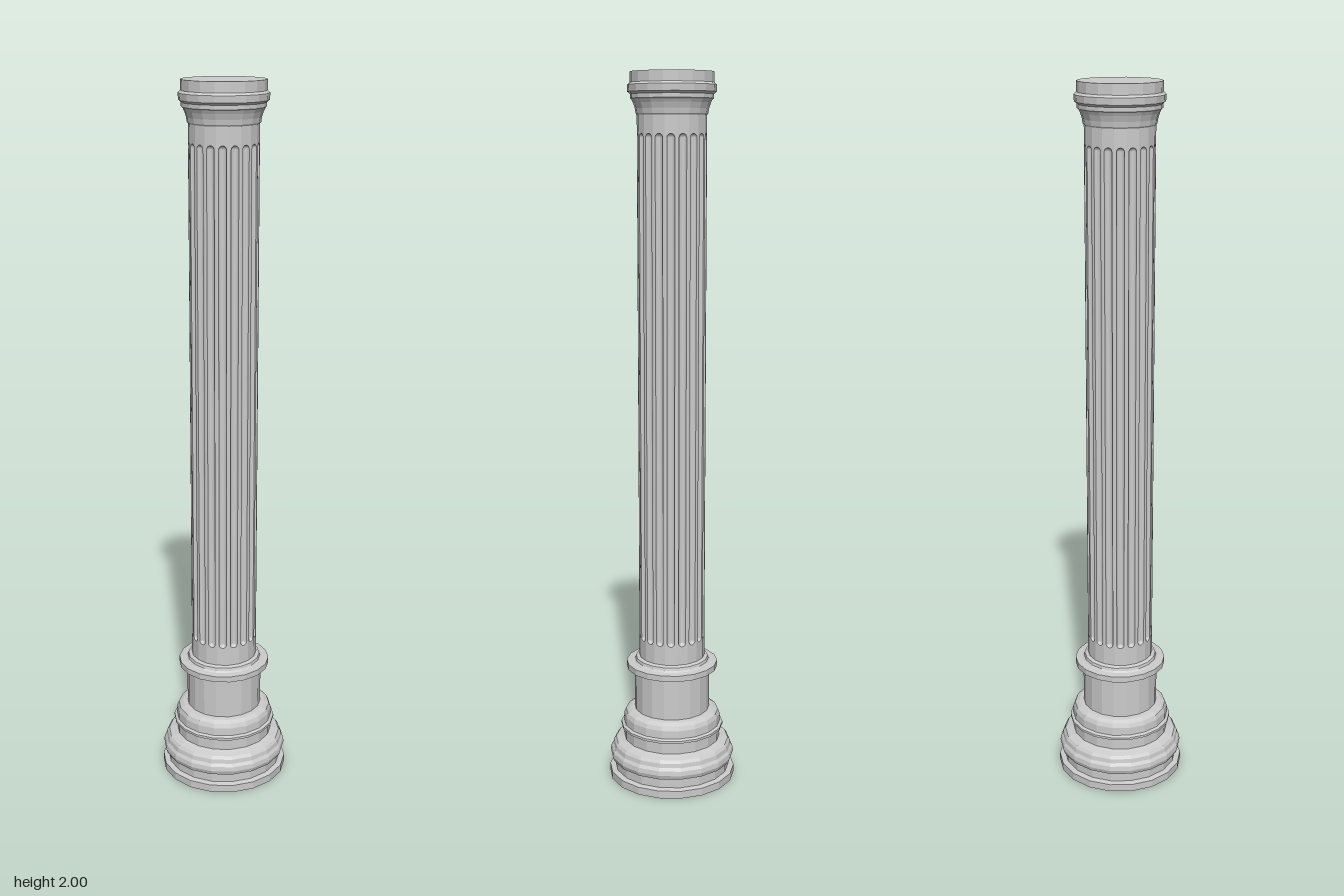
import * as THREE from 'three';
import { mergeGeometries } from 'three/addons/utils/BufferGeometryUtils.js';

const SIDES = 18;
const SHAFT = { radius: 0.094, bottom: 0.365, top: 1.89 };
const FLUTE = { half: 0.0105, depth: 0.009, bottom: 0.42, top: 1.84 };

const material = new THREE.MeshStandardMaterial({ color: 0xcccccc, flatShading: true });

// Turned part with a corner on the x axis; profile is [radius, y] from bottom to top
function turned(name, profile) {
  const points = profile.map(([r, y]) => new THREE.Vector2(r, y));
  const mesh = new THREE.Mesh(new THREE.LatheGeometry(points, SIDES, Math.PI / 2), material);
  mesh.name = name;
  return mesh;
}

// Long slot with rounded ends, counter-clockwise
function slotOutline(r) {
  const points = [];
  const arc = 8;
  for (const [start, y] of [[Math.PI, FLUTE.bottom + FLUTE.half], [0, FLUTE.top - FLUTE.half]]) {
    for (let i = 0; i <= arc; i++) {
      const a = start + (Math.PI * i) / arc;
      points.push(new THREE.Vector2(r * Math.cos(a), y + r * Math.sin(a)));
    }
  }
  return points;
}

// Flat shaft face with the slot cut out
function panelGeometry(z) {
  const w = SHAFT.radius * Math.sin(Math.PI / SIDES);
  const shape = new THREE.Shape([
    new THREE.Vector2(-w, SHAFT.bottom), new THREE.Vector2(w, SHAFT.bottom),
    new THREE.Vector2(w, SHAFT.top), new THREE.Vector2(-w, SHAFT.top),
  ]);
  shape.holes.push(new THREE.Path(slotOutline(FLUTE.half)));
  return new THREE.ShapeGeometry(shape).translate(0, 0, z);
}

// Half-round groove made of nested slot outlines sinking inwards
function grooveGeometry(z) {
  const steps = 4;
  const positions = [];
  const index = [];
  let count = 0;
  for (let s = 0; s <= steps; s++) {
    const a = (s / steps) * Math.PI / 2;
    const loop = slotOutline(FLUTE.half * Math.cos(a));
    count = loop.length;
    for (const p of loop) positions.push(p.x, p.y, z - FLUTE.depth * Math.sin(a));
  }
  for (let s = 0; s < steps; s++) {
    for (let i = 0; i < count; i++) {
      const j = (i + 1) % count;
      const a = s * count + i, b = s * count + j;
      index.push(a, b, b + count, a, b + count, a + count);
    }
  }
  const geometry = new THREE.BufferGeometry();
  geometry.setAttribute('position', new THREE.Float32BufferAttribute(positions, 3));
  geometry.setIndex(index);
  geometry.computeVertexNormals();
  return geometry;
}

// Repeats one shaft face around the axis
function aroundShaft(name, geometry, mat) {
  const copies = [];
  for (let k = 0; k < SIDES; k++) copies.push(geometry.clone().rotateY((k * 2 * Math.PI) / SIDES));
  const mesh = new THREE.Mesh(mergeGeometries(copies), mat);
  mesh.name = name;
  return mesh;
}

export function createModel() {
  const column = new THREE.Group();
  column.name = 'column';

  // Stepped foot with two rounded mouldings
  column.add(turned('base', [
    [0, 0], [0.182, 0], [0.182, 0.022], [0.166, 0.025], [0.166, 0.05],
    [0.176, 0.055], [0.18, 0.067], [0.178, 0.08], [0.172, 0.088],
    [0.17, 0.1], [0.164, 0.108], [0.15, 0.112], [0.139, 0.116], [0.139, 0.148],
    [0.148, 0.151], [0.148, 0.158], [0.14, 0.162], [0.139, 0.185],
    [0.134, 0.197], [0.122, 0.204], [0.108, 0.206],
  ]));

  // Plain drum and the collar above it
  column.add(turned('drum', [[0.108, 0.206], [0.108, 0.322]]));
  column.add(turned('collar', [
    [0.108, 0.322], [0.113, 0.328], [0.131, 0.331], [0.131, 0.348],
    [0.111, 0.35], [0.106, 0.354], [0.104, 0.362], [0.094, 0.366],
  ]));

  // Fluted shaft
  const faceZ = SHAFT.radius * Math.cos(Math.PI / SIDES);
  const shaft = new THREE.Group();
  shaft.name = 'shaft';
  const smooth = new THREE.MeshStandardMaterial({ color: 0xcccccc });
  shaft.add(aroundShaft('shaftFaces', panelGeometry(faceZ), material));
  shaft.add(aroundShaft('flutes', grooveGeometry(faceZ), smooth));
  column.add(shaft);

  // Flared capital with a projecting band and flat top
  column.add(turned('capital', [
    [0.094, 1.888], [0.097, 1.892], [0.099, 1.905], [0.104, 1.92], [0.108, 1.928],
    [0.112, 1.931], [0.112, 1.942], [0.119, 1.948], [0.12, 1.966],
    [0.113, 1.972], [0.113, 2], [0, 2],
  ]));

  return column;
}
